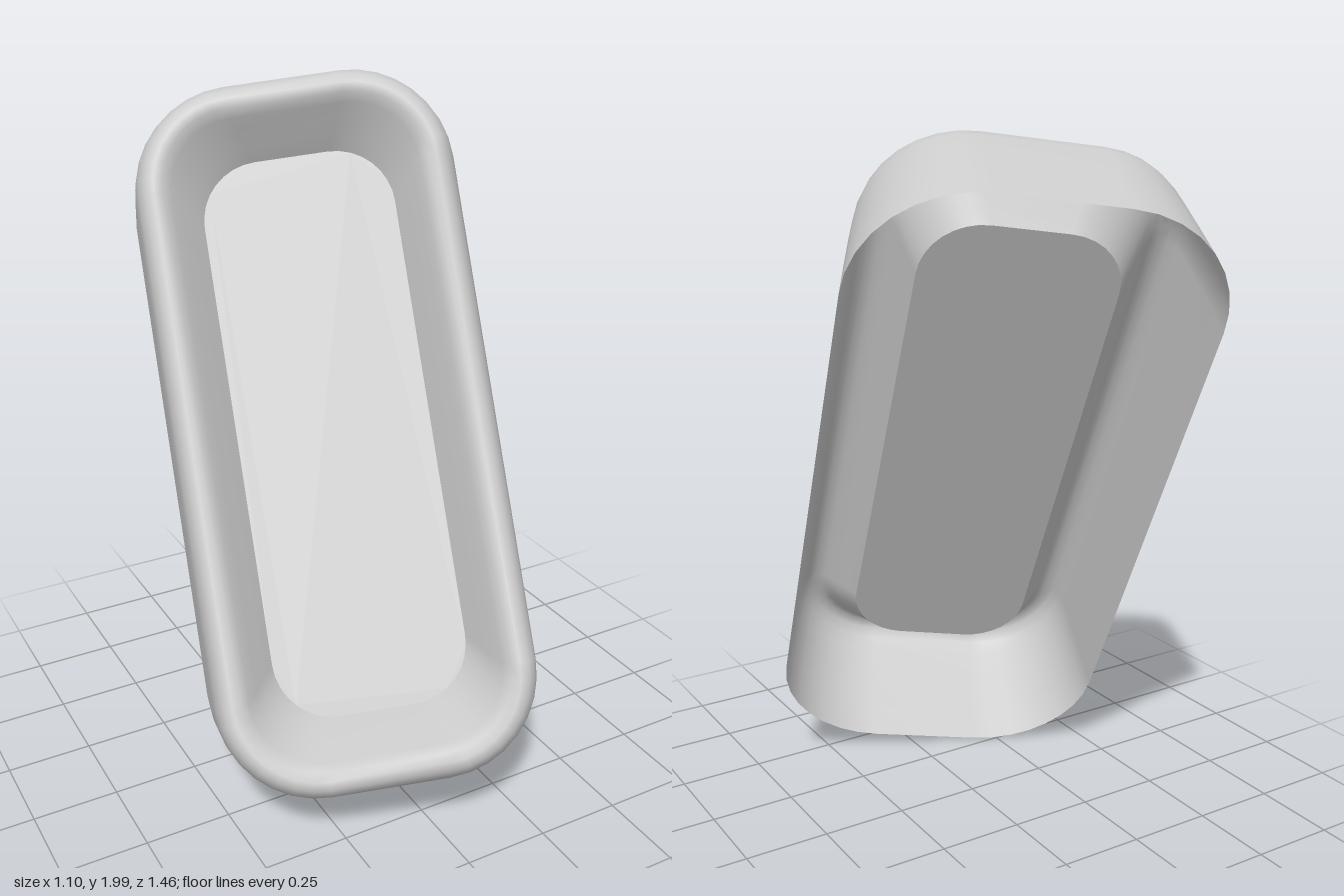
import * as THREE from 'three';

const ARC = 8; // segments per rounded corner

// Rounded rectangle: core half sizes a, b grown by corner radius r (counterclockwise)
function roundedLoop(a, b, r) {
  const points = [];
  const corners = [[1, 1], [-1, 1], [-1, -1], [1, -1]];
  corners.forEach(([sx, sy], q) => {
    for (let k = 0; k <= ARC; k++) {
      const t = (q + k / ARC) * Math.PI / 2;
      points.push(new THREE.Vector2(sx * a + r * Math.cos(t), sy * b + r * Math.sin(t)));
    }
  });
  return points;
}

// Skin a series of rounded rectangles [height, a, b, r]
function loftLoops(sections) {
  const positions = [], index = [];
  const n = 4 * (ARC + 1);
  sections.forEach(([h, a, b, r], j) => {
    roundedLoop(a, b, r).forEach((p) => positions.push(p.x, p.y, h));
    if (j === sections.length - 1) return;
    for (let i = 0; i < n; i++) {
      const p = j * n + i, q = j * n + (i + 1) % n;
      index.push(p, q, q + n, p, q + n, p + n);
    }
  });
  const geometry = new THREE.BufferGeometry();
  geometry.setAttribute('position', new THREE.Float32BufferAttribute(positions, 3));
  geometry.setIndex(index);
  geometry.computeVertexNormals();
  return geometry;
}

export function createModel() {
  const model = new THREE.Group();
  const tray = new THREE.Group();
  tray.name = 'tiltedTray';
  const material = new THREE.MeshStandardMaterial({ color: 0xcccccc, side: THREE.DoubleSide });

  // Tapered outer wall, open at the back, rolling over the rim down to the floor
  const A = 0.162, B = 0.709;
  const floor = [0.245, 0.105, 0.625, 0.17];
  const sections = [
    [0, A, B, 0.325],
    [0.12, A, B, 0.312],
    [0.24, A, B, 0.298],
    [0.33, A, B, 0.286],
    [0.37, A, B, 0.275],
    [0.398, A, B, 0.255],
    [0.408, A, B, 0.23],
    [0.4, A, B, 0.205],
    [0.375, 0.155, 0.7, 0.192],
    [0.34, 0.142, 0.682, 0.185],
    [0.29, 0.122, 0.65, 0.177],
    floor,
  ];
  const shell = new THREE.Mesh(loftLoops(sections), material);
  shell.name = 'wallAndRim';
  tray.add(shell);

  // Flat recessed floor
  const [height, a, b, r] = floor;
  const panel = new THREE.Mesh(new THREE.ShapeGeometry(new THREE.Shape(roundedLoop(a, b, r))), material);
  panel.name = 'floor';
  panel.position.z = height;
  tray.add(panel);

  // Lean the tray back and turn it sideways
  const up = new THREE.Vector3(0.079, 0.879, -0.47).normalize();
  const side = new THREE.Vector3().crossVectors(up, new THREE.Vector3(-0.395, 0.465, 0.79)).normalize();
  const face = new THREE.Vector3().crossVectors(side, up);
  tray.quaternion.setFromRotationMatrix(new THREE.Matrix4().makeBasis(side, up, face));
  tray.position.set(0.06, 0.935, -0.13);
  model.add(tray);

  // Stand on the ground, centred
  const box = new THREE.Box3().setFromObject(model, true);
  const centre = box.getCenter(new THREE.Vector3());
  tray.position.sub(new THREE.Vector3(centre.x, box.min.y, centre.z));
  return model;
}
